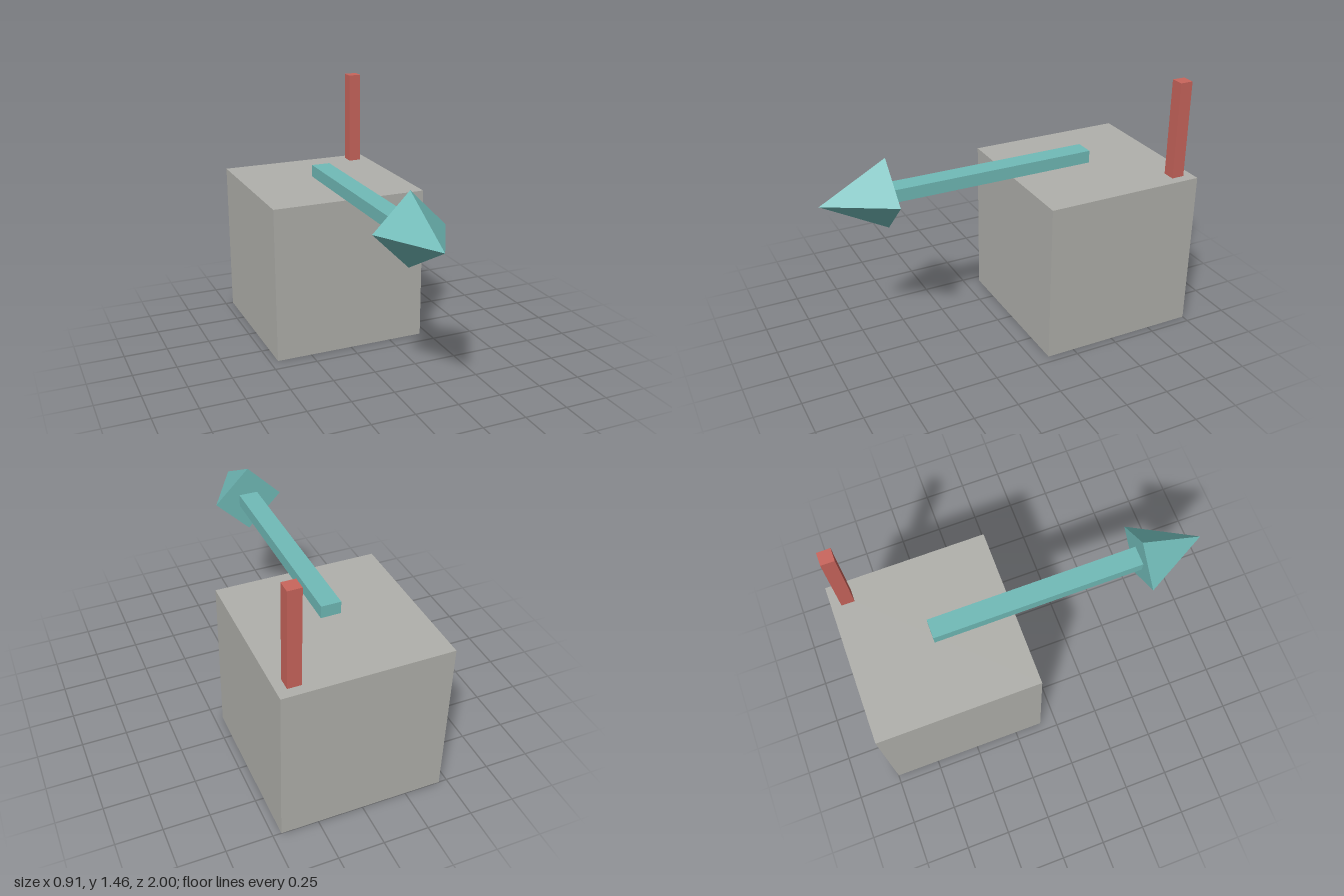
import * as THREE from 'three';

const material = (name, color) => {
  const m = new THREE.MeshStandardMaterial({ color });
  m.name = name;
  return m;
};

export function createModel() {
  const model = new THREE.Group();
  const stone = material('warm grey', 0xb0b0ab);
  const teal = material('teal', 0x70bab7);
  const red = material('red', 0xc9655c);

  const add = (name, geometry, mat, x, y, z, parent = model) => {
    const mesh = new THREE.Mesh(geometry, mat);
    mesh.name = name;
    mesh.position.set(x, y, z);
    parent.add(mesh);
    return mesh;
  };

  // Cube body, with its front direction marked by the arrow
  const size = 0.908;
  const centreZ = -1 + size / 2;
  add('body', new THREE.BoxGeometry(size, size, size), stone, 0, size / 2, centreZ);

  // Antenna in the back left corner
  const antennaHeight = 0.547;
  add('antenna', new THREE.BoxGeometry(0.073, antennaHeight, 0.073), red,
    0.363, size + antennaHeight / 2, centreZ - 0.363);

  // Direction arrow: flat bar and four-sided head pointing forward
  const arrow = new THREE.Group();
  arrow.name = 'arrow';
  arrow.position.y = 0.966;
  model.add(arrow);
  const headBase = 0.637;
  const shaftLength = headBase - centreZ;
  add('arrowShaft', new THREE.BoxGeometry(0.11, 0.071, shaftLength), teal,
    0, 0, centreZ + shaftLength / 2, arrow);
  const headLength = 1 - headBase;
  const head = new THREE.ConeGeometry(0.2, headLength, 4).toNonIndexed();
  head.rotateX(Math.PI / 2);
  head.computeVertexNormals();
  add('arrowHead', head, teal, 0, 0, headBase + headLength / 2, arrow);

  return model;
}
